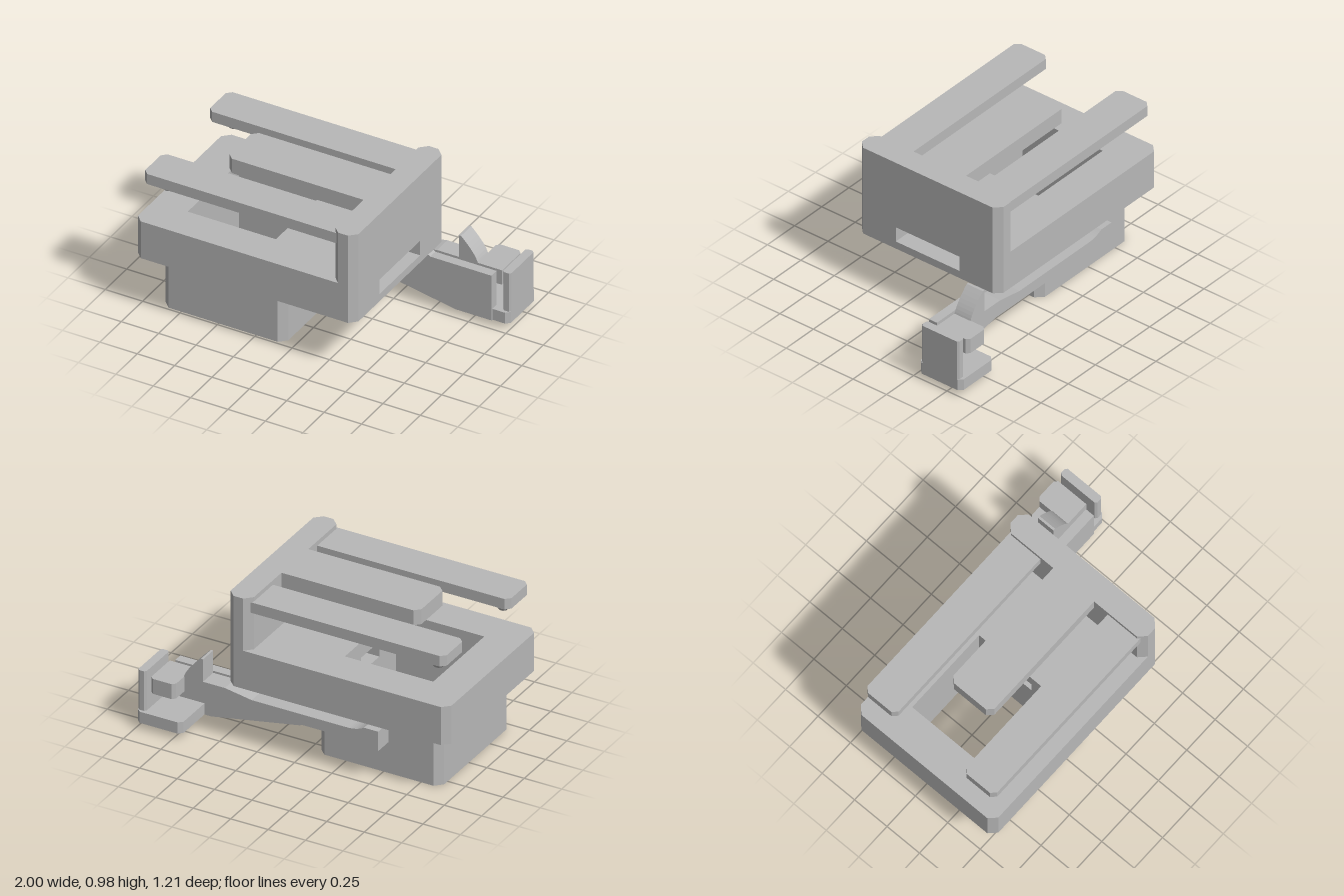
import * as THREE from 'three';

export function createModel() {
  const model = new THREE.Group();
  const grey = new THREE.MeshStandardMaterial({ color: 0xb8b8b8, flatShading: true, side: THREE.DoubleSide });
  grey.name = 'plain grey';

  const add = (name, geometry) => {
    const mesh = new THREE.Mesh(geometry, grey);
    mesh.name = name;
    model.add(mesh);
    return mesh;
  };
  const toShape = (pts) => new THREE.Shape(pts.map((p) => new THREE.Vector2(p[0], p[1])));

  // Rectangle outline with chamfers: cl at the -x corners, cr at the +x corners
  const outline = (x0, x1, z0, z1, cl = 0, cr = cl) => [
    [x0 + cl, z0], [x1 - cr, z0], [x1, z0 + cr], [x1, z1 - cr],
    [x1 - cr, z1], [x0 + cl, z1], [x0, z1 - cl], [x0, z0 + cl],
  ].filter((p, i, a) => i === 0 || p[0] !== a[i - 1][0] || p[1] !== a[i - 1][1]);

  // Upright prism from an [x, z] outline
  const prism = (name, pts, y0, y1, hole) => {
    const shape = toShape(pts);
    if (hole) shape.holes.push(toShape(hole));
    const g = new THREE.ExtrudeGeometry(shape, { depth: y1 - y0, bevelEnabled: false });
    g.rotateX(Math.PI / 2).translate(0, y1, 0);
    return add(name, g);
  };
  // Sideways prism from an [x, y] profile or shape
  const profile = (name, shape, z0, z1) => {
    const g = new THREE.ExtrudeGeometry(shape, { depth: z1 - z0, bevelEnabled: false, curveSegments: 8 });
    return add(name, g.translate(0, 0, z0));
  };

  // Base plate in three layers, the middle one cut by the stepped side slot
  const shaft = [[-0.77, -0.225], [-0.18, -0.225], [-0.18, 0.375], [-0.77, 0.375]];
  const plate = outline(-1, 0.475, -0.46, 0.6, 0.045);
  prism('basePlateLower', plate, 0.37, 0.42, shaft);
  prism('basePlateUpper', plate, 0.52, 0.625, shaft);
  prism('basePlateSlotted', [
    [-0.955, -0.46], [0.43, -0.46], [0.475, -0.415], [0.475, -0.165],
    [0.15, -0.165], [0.15, -0.035], [-0.18, -0.035], [-0.18, -0.225],
    [-0.77, -0.225], [-0.77, 0.375], [-0.18, 0.375], [-0.18, 0.18],
    [0.15, 0.18], [0.15, 0.31], [0.475, 0.31], [0.475, 0.555],
    [0.43, 0.6], [-0.955, 0.6], [-1, 0.555], [-1, -0.415],
  ], 0.42, 0.52);

  // Hollow lower socket with a flared mouth
  const socket = outline(-0.88, -0.06, -0.335, 0.485, 0.045);
  prism('socket', socket, 0.035, 0.37, shaft);
  prism('socketRim', socket, 0, 0.035, outline(-0.81, -0.14, -0.26, 0.41));
  const flare = new THREE.CylinderGeometry(0.3 * Math.SQRT2, 0.335 * Math.SQRT2, 0.035, 4, 1, true);
  add('socketFlare', flare.rotateY(Math.PI / 4).translate(-0.475, 0.0175, 0.075));

  // End wall and centre tongue
  prism('endWall', outline(0.32, 0.475, -0.46, 0.6, 0.045), 0.625, 0.975);
  prism('centreTongue', outline(-0.595, 0.33, -0.09, 0.225, 0.035, 0), 0.875, 0.975);

  // Two spring arms, each with a tapered nub underneath
  for (const z of [-0.31, 0.45]) {
    prism('springArm', outline(-0.96, 0.335, z - 0.12, z + 0.12, 0.03, 0), 0.875, 0.945);
    const nub = new THREE.LatheGeometry(
      [[0, 0.8], [0.028, 0.8], [0.046, 0.822], [0.046, 0.876]].map((p) => new THREE.Vector2(...p)), 8);
    add('armNub', nub.rotateY(Math.PI / 8).translate(-0.855, 0, z));
  }

  // Side bracket web
  profile('bracketWeb', toShape([
    [-0.015, 0.375], [-0.015, 0.2], [0.055, 0.15], [0.65, 0.04],
    [0.89, 0.04], [0.89, 0.35], [0.48, 0.35], [0.44, 0.375],
  ]), -0.335, -0.275);

  // Lever rail with a curved catch at its far end
  const rail = new THREE.Shape();
  rail.moveTo(0.915, 0.35);
  rail.lineTo(0.48, 0.35);
  rail.lineTo(0.3, 0.32);
  rail.lineTo(-0.34, 0.32);
  rail.quadraticCurveTo(-0.4, 0.32, -0.45, 0.35);
  rail.lineTo(-0.545, 0.35);
  rail.lineTo(-0.545, 0.22);
  rail.lineTo(-0.48, 0.2);
  rail.quadraticCurveTo(-0.41, 0.25, -0.32, 0.25);
  rail.lineTo(0.915, 0.25);
  profile('leverRail', rail, -0.475, -0.355);

  // Curved fin on the rail
  const fin = new THREE.Shape();
  fin.moveTo(0.625, 0.345);
  fin.lineTo(0.755, 0.345);
  fin.quadraticCurveTo(0.735, 0.41, 0.64, 0.5);
  fin.lineTo(0.625, 0.5);
  profile('leverFin', fin, -0.475, -0.355);

  // Thumb block, foot and upright stop at the end of the bracket
  prism('thumbBlock', outline(0.75, 0.915, -0.59, -0.355, 0.02), 0.25, 0.35);
  prism('foot', outline(0.695, 1, -0.605, -0.285, 0.025), 0.04, 0.115);
  prism('uprightStop', outline(0.945, 1, -0.585, -0.305, 0.012), 0.115, 0.38);

  return model;
}
